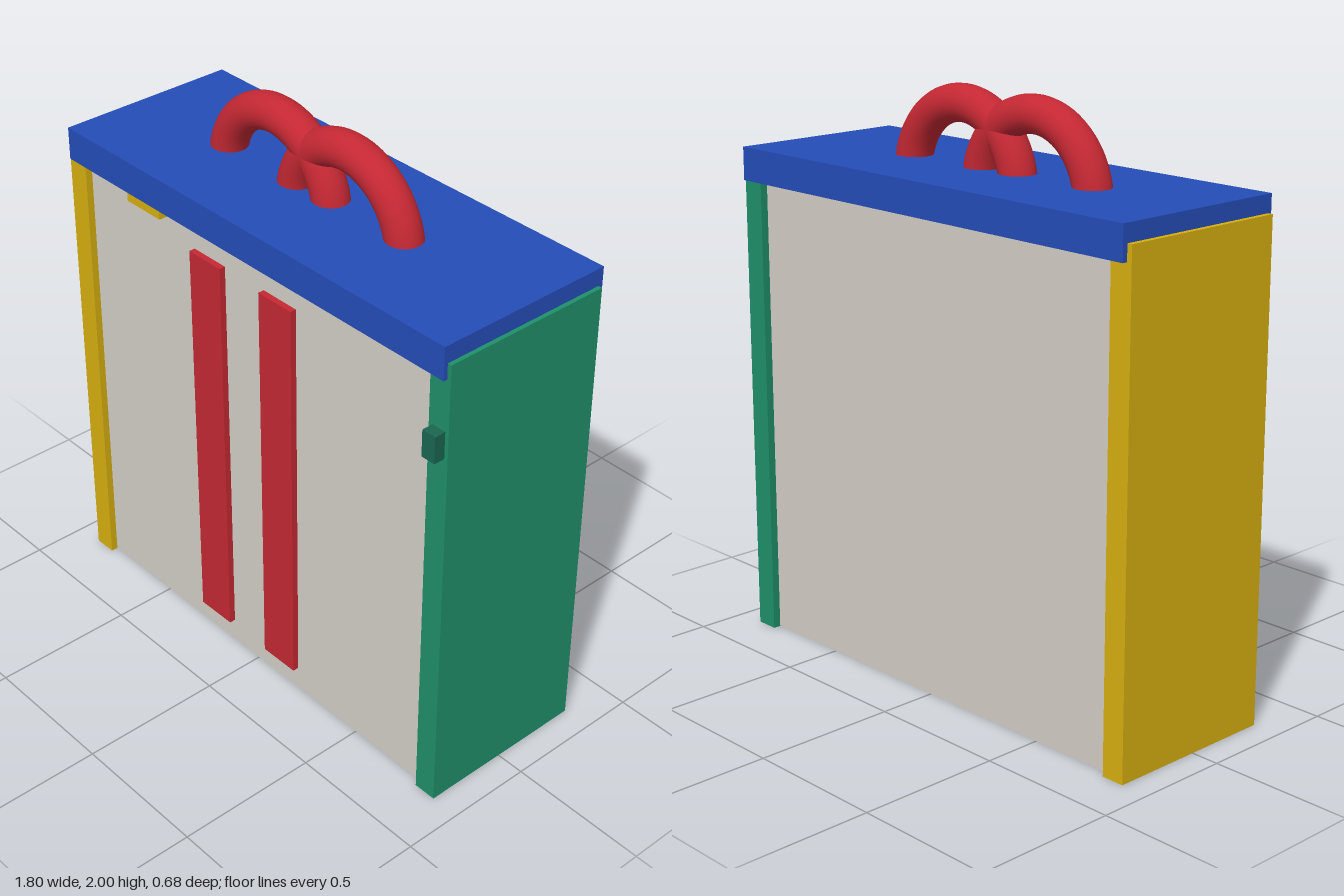
import * as THREE from 'three';

const material = (color) => new THREE.MeshStandardMaterial({ color });

export function createModel() {
  const model = new THREE.Group();
  const cream = material(0xd3cec6);
  const blue = material(0x254db8);
  const green = material(0x1f8f69);
  const darkGreen = material(0x1a6650);
  const yellow = material(0xd6ae10);
  const red = material(0xc42833);

  // Box given by its extents along each axis
  function box(name, mat, [x0, x1], [y0, y1], [z0, z1]) {
    const mesh = new THREE.Mesh(new THREE.BoxGeometry(x1 - x0, y1 - y0, z1 - z0), mat);
    mesh.position.set((x0 + x1) / 2, (y0 + y1) / 2, (z0 + z1) / 2);
    mesh.name = name;
    model.add(mesh);
  }

  // Case body between two slightly deeper side boards
  box('body', cream, [-0.82, 0.82], [0, 1.66], [-0.295, 0.275]);
  box('rightSide', yellow, [-0.9, -0.818], [0, 1.68], [-0.322, 0.3]);
  box('leftSide', green, [0.815, 0.897], [0, 1.68], [-0.322, 0.3]);

  // Overhanging lid
  box('lid', blue, [-0.882, 0.882], [1.625, 1.74], [-0.34, 0.314]);

  // Front stripes
  for (const x of [-0.205, 0.132]) {
    box('frontStripe', red, [x - 0.075, x + 0.075], [0.087, 1.53], [0.265, 0.297]);
  }

  // Small tab below the lid and clip on the left side board
  box('lidTab', yellow, [-0.588, -0.422], [1.585, 1.65], [0.26, 0.303]);
  box('sideClip', darkGreen, [0.83, 0.883], [1.35, 1.445], [0.28, 0.34]);

  // Two interlocking arched handles
  for (const x of [-0.2, 0.13]) {
    const handle = new THREE.Mesh(new THREE.TorusGeometry(0.25, 0.063, 24, 48, Math.PI), red);
    handle.position.set(x, 1.687, -0.012);
    handle.name = 'handle';
    model.add(handle);
  }

  return model;
}
